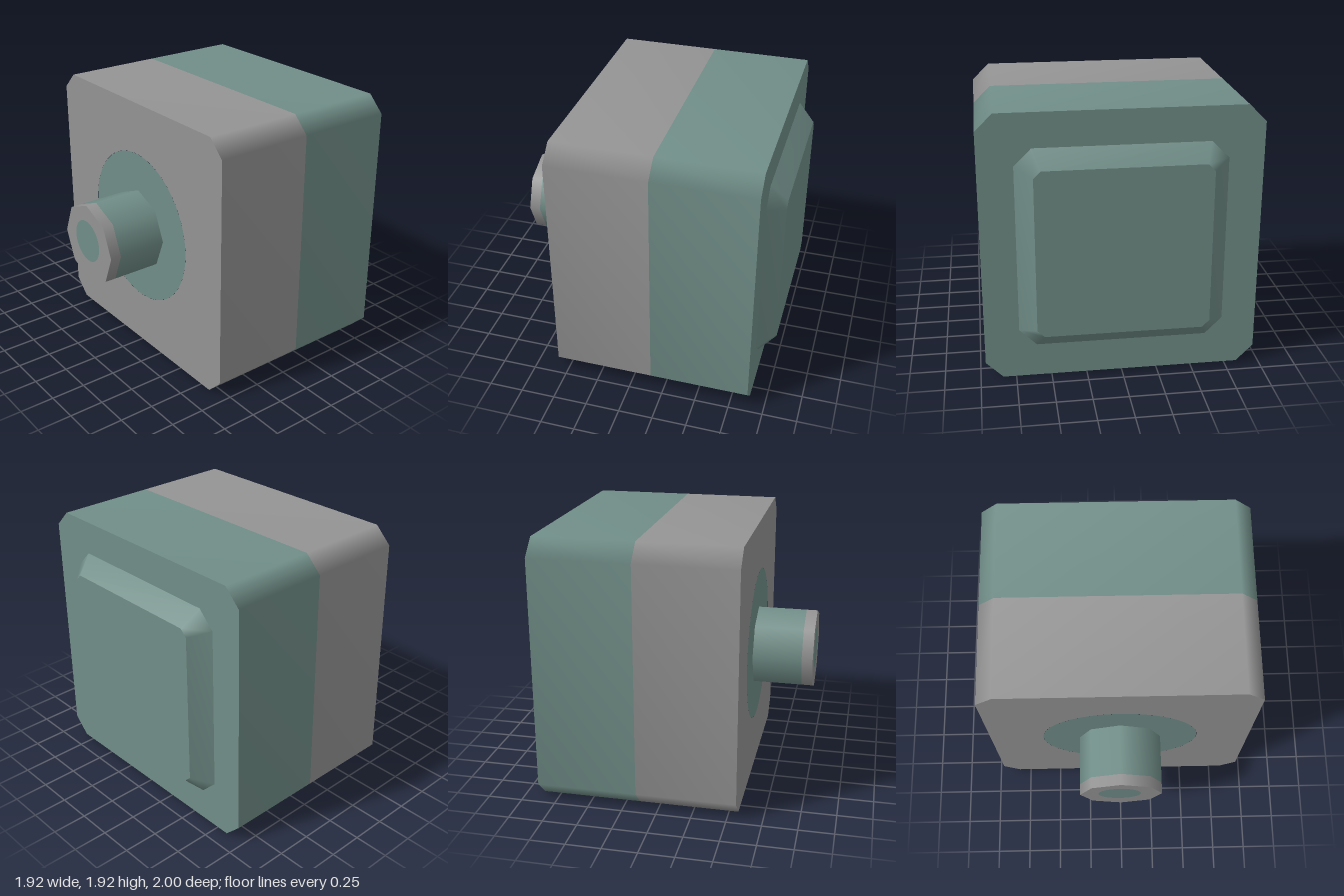
import * as THREE from 'three';

const CY = 0.965; // height of the shaft axis
const SEG = 40;

function mat(name, color) {
  const m = new THREE.MeshStandardMaterial({ color });
  m.name = name;
  return m;
}

// square of half-width h with corners cut by c, counter-clockwise
function cutSquare(h, c) {
  const k = h - c;
  return [[h, -k], [h, k], [k, h], [-k, h], [-h, k], [-h, -k], [-k, -h], [k, -h]]
    .map(([x, y]) => new THREE.Vector2(x, y));
}

// smooth side wall through cut squares, listed from back to front
function wall(rings) {
  const pos = [], idx = [];
  rings.forEach(({ h, c, z }) => cutSquare(h, c).forEach((p) => pos.push(p.x, p.y, z)));
  for (let r = 0; r < rings.length - 1; r++) {
    for (let i = 0; i < 8; i++) {
      const a = r * 8 + i, b = r * 8 + (i + 1) % 8;
      idx.push(a, b, b + 8, a, b + 8, a + 8);
    }
  }
  const g = new THREE.BufferGeometry();
  g.setAttribute('position', new THREE.Float32BufferAttribute(pos, 3));
  g.setIndex(idx);
  g.computeVertexNormals();
  return g;
}

// flat face facing +z, with an optional round hole
function face(points, z, hole) {
  const shape = new THREE.Shape(points);
  if (hole) {
    const path = new THREE.Path();
    path.absarc(hole.x, hole.y, hole.r, 0, Math.PI * 2, false);
    shape.holes.push(path);
  }
  return new THREE.ShapeGeometry(shape, SEG).translate(0, 0, z);
}

export function createModel() {
  const grey = mat('grey', 0x949494);
  const teal = mat('teal', 0x718e88);
  const model = new THREE.Group();
  model.name = 'motor';
  const add = (name, geometry, material) => {
    const mesh = new THREE.Mesh(geometry, material);
    mesh.name = name;
    mesh.position.y = CY;
    model.add(mesh);
  };

  const H = 0.962, C = 0.12;
  const FRONT = 0.565, SEAM = -0.155, BACK = -0.88, TIP = 1, BAND = 0.92;

  // housing, in two colours
  add('housingFront', wall([{ h: H, c: C, z: SEAM }, { h: H, c: C, z: FRONT }]), grey);
  add('housingRear', wall([{ h: H, c: C, z: BACK }, { h: H, c: C, z: SEAM }]), teal);
  add('rearFace', face(cutSquare(H, C), -BACK).rotateY(Math.PI), teal);

  // front face with its round coloured patch
  const patch = { x: 0, y: 0.012, r: 0.57 };
  add('frontFace', face(cutSquare(H, C), FRONT, patch), grey);
  add('frontPatch', new THREE.CircleGeometry(patch.r, SEG).translate(patch.x, patch.y, FRONT), teal);

  // bevelled plate on the back
  add('rearPlateBevel', wall([{ h: 0.6, c: 0.05, z: -1 }, { h: 0.72, c: 0.12, z: BACK }]), teal);
  add('rearPlateFace', face(cutSquare(0.6, 0.05), 1).rotateY(Math.PI), teal);

  // eight-sided shaft
  const R = 0.3;
  const tube = (z0, z1) => new THREE.CylinderGeometry(R, R, z1 - z0, 8, 1, true)
    .rotateX(Math.PI / 2).translate(0, 0, (z0 + z1) / 2);
  add('shaft', tube(FRONT, BAND), teal);
  add('shaftTipBand', tube(BAND, TIP), grey);

  // shaft end with a small coloured spot
  const octagon = Array.from({ length: 8 }, (_, i) =>
    new THREE.Vector2(Math.cos(i * Math.PI / 4) * R, Math.sin(i * Math.PI / 4) * R));
  const spot = { x: -0.01, y: 0.02, r: 0.155 };
  add('shaftEnd', face(octagon, TIP, spot), grey);
  add('shaftEndSpot', new THREE.CircleGeometry(spot.r, SEG).translate(spot.x, spot.y, TIP), teal);

  return model;
}
